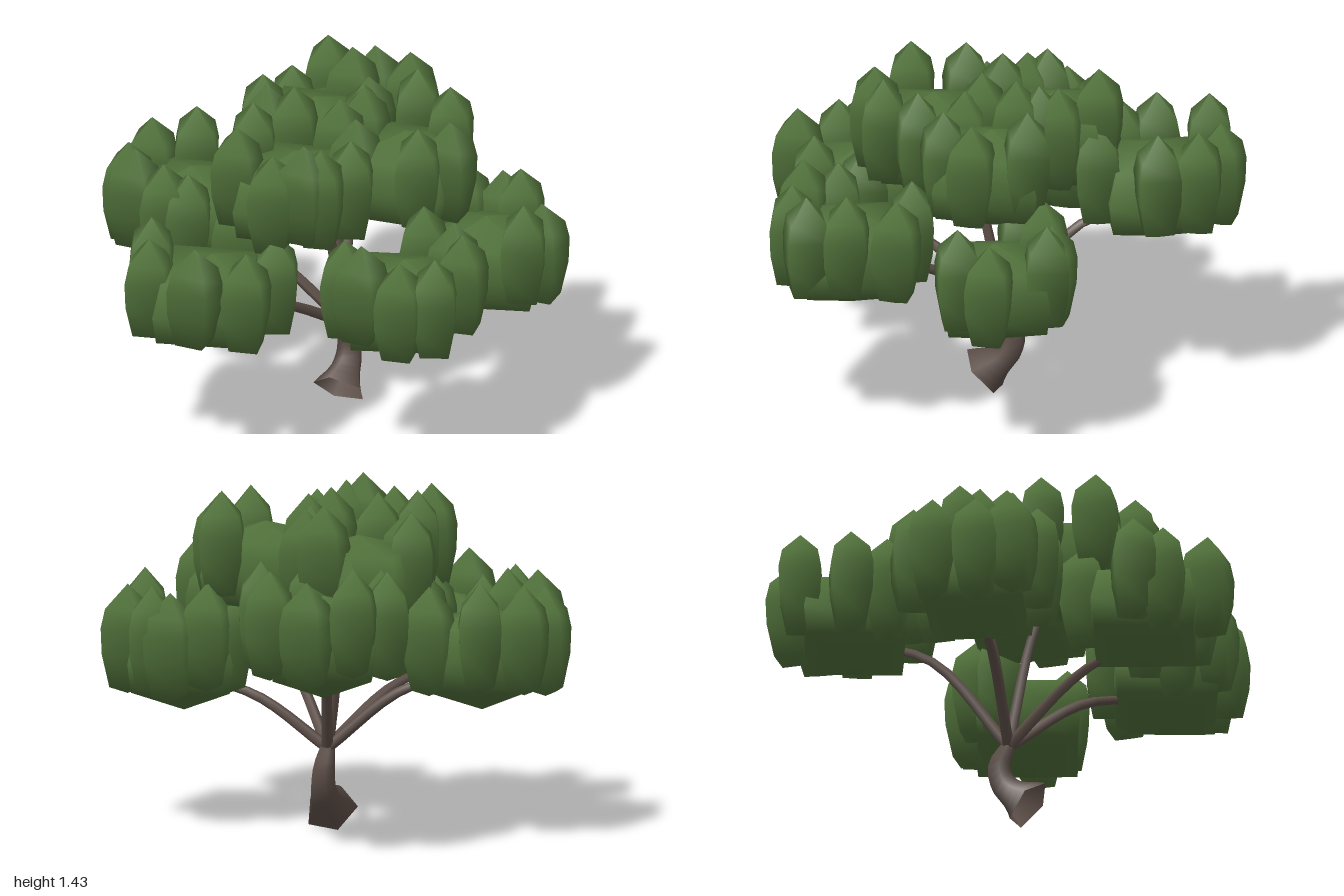
import * as THREE from 'three';

const bark = new THREE.MeshStandardMaterial({ color: 0x5f5049 });
bark.name = 'bark brown';
bark.side = THREE.DoubleSide;
const leaf = new THREE.MeshStandardMaterial({ color: 0x50703a });
leaf.name = 'leaf green';

// Four-sided barrel from a [radius, height] profile
function barrel(profile) {
  return new THREE.LatheGeometry(profile.map(([r, y]) => new THREE.Vector2(r, y)), 4);
}

// Tube whose radius follows a list of radii along the path
function taperedTube(points, radii, sides) {
  const curve = new THREE.CatmullRomCurve3(points.map((p) => new THREE.Vector3(...p)));
  const steps = 10;
  const g = new THREE.TubeGeometry(curve, steps, 1, sides);
  const pos = g.attributes.position;
  const v = new THREE.Vector3();
  for (let i = 0; i < pos.count; i++) {
    const t = Math.floor(i / (sides + 1)) / steps;
    const k = t * (radii.length - 1);
    const a = Math.min(Math.floor(k), radii.length - 2);
    const r = THREE.MathUtils.lerp(radii[a], radii[a + 1], k - a);
    const c = curve.getPointAt(t);
    v.fromBufferAttribute(pos, i).sub(c).multiplyScalar(r).add(c);
    pos.setXYZ(i, v.x, v.y, v.z);
  }
  return g;
}

export function createModel() {
  const tree = new THREE.Group();
  tree.name = 'tree';
  const add = (parent, name, geometry, material) => {
    const mesh = new THREE.Mesh(geometry, material);
    mesh.name = name;
    parent.add(mesh);
    return mesh;
  };

  // Bent trunk with a flared, open foot
  const fork = [0.18, 0.36, -0.1];
  add(tree, 'trunk', taperedTube(
    [[0.12, 0.09, -0.04], [0.2, 0.18, -0.1], [0.215, 0.27, -0.12], fork],
    [0.115, 0.068, 0.055, 0.048, 0.032], 5), bark);

  // Shared foliage shapes: a broad body and an upright, blunt-footed tuft
  const bodyShape = barrel([[0, 0], [0.29, 0.1], [0.31, 0.22], [0.27, 0.36], [0, 0.43]]);
  const tuftShape = barrel(
    [[0, -0.23], [0.085, -0.2], [0.12, -0.06], [0.125, 0.05], [0.105, 0.13], [0, 0.23]]);

  // A clump: body with tufts around it at the given angles (degrees, +x towards +z)
  let n = 0;
  function clump(name, x, y, z, ring, angles) {
    const group = new THREE.Group();
    group.name = name + 'Clump';
    tree.add(group);
    const base = y - 0.32;
    const body = add(group, 'foliageBody', bodyShape, leaf);
    body.position.set(x, base, z);
    body.rotation.y = 0.15 * Math.sin(n);

    // Branch rises quickly, then runs into the underside
    if (name !== 'upperLeft') {
      const bend = [fork[0] + (x - fork[0]) * 0.5, base + 0.07, fork[2] + (z - fork[2]) * 0.5];
      add(group, 'branch', taperedTube([fork, bend, [x, base + 0.15, z]], [0.026, 0.022, 0.015], 5), bark);
    }

    for (const degrees of angles) {
      const angle = THREE.MathUtils.degToRad(degrees);
      const tuft = add(group, 'leafTuft', tuftShape, leaf);
      tuft.position.set(
        x + ring * Math.cos(angle), y + 0.03 * Math.sin(n * 2.3), z + ring * Math.sin(angle));
      tuft.rotation.y = 0.2 * Math.sin(n++ * 1.7);
    }
  }

  clump('backRight', -0.25, 0.87, -0.61, 0.265, [-97, -54, -140, 185, 148, 125, 53, 0]);
  clump('backLeft', 0.55, 0.99, -0.62, 0.265, [222, 277, 320, 2, 42, 188, 145, 112]);
  clump('upperBack', 0.2, 1.18, -0.36, 0.22, [215, 345, 38, 59, 146, 192]);
  clump('upperRight', -0.13, 1.18, 0.02, 0.25, [201, 256, 145, 115, 98, 57, -12]);
  clump('upperLeft', 0.34, 1.19, 0.12, 0.22, [65, 108, 0, 192, 250]);
  clump('right', -0.55, 0.82, 0.04, 0.265, [229, 202, 138, 90, 40, -35]);
  clump('left', 0.6, 0.82, 0.34, 0.24, [-42, -22, 82, 48, -80, -110]);
  clump('front', 0.03, 0.89, 0.62, 0.25, [209, 168, 127, 92, 48, -5, -40]);
  return tree;
}
